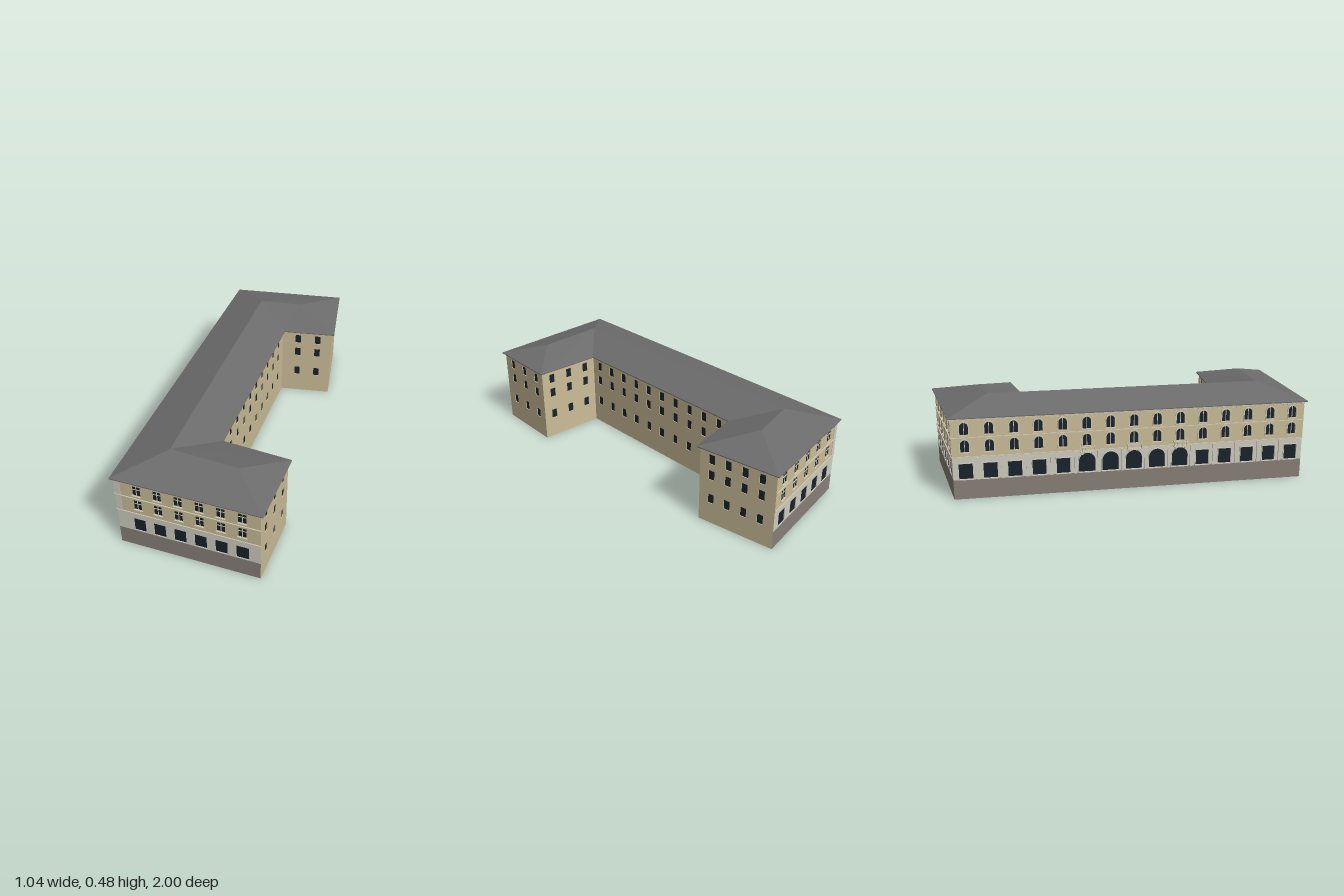
import * as THREE from 'three';
import { mergeGeometries } from 'three/addons/utils/BufferGeometryUtils.js';

const mat = (color, side = THREE.DoubleSide) => new THREE.MeshStandardMaterial({ color, side });
const M = {
  stucco: mat(0xcbbd98), plaster: mat(0xd0ccc0), base: mat(0x878077),
  glass: mat(0x18222c), roof: mat(0x6c6c6c), trim: mat(0xd0c8b0),
};

// Eaves outline as [x, z]; street sides are edges 0 (north), 6 (south), 7 (west)
const EAVES = [[-0.52, -0.8], [0.08, -1], [0.22, -0.585], [-0.05, -0.49],
  [0.12, 0.53], [0.47, 0.5], [0.52, 0.89], [-0.21, 1]];
const EAVE_Y = 0.418, WALL_TOP = 0.414, SKIN = 0.006;

// Offsets a closed outline inwards by d
function inset(pts, d) {
  const n = pts.length;
  const normal = (a, b) => new THREE.Vector2(a[1] - b[1], b[0] - a[0]).normalize();
  return pts.map((p, i) => {
    const n1 = normal(pts[(i + n - 1) % n], p), n2 = normal(p, pts[(i + 1) % n]);
    const k = d / (1 + n1.dot(n2));
    return [p[0] + (n1.x + n2.x) * k, p[1] + (n1.y + n2.y) * k];
  });
}

// Opening outline, optionally with a round head
function trace(path, { x, y, w, h, arch }, grow = 0) {
  const r = w / 2 + grow, top = y + h + grow;
  path.moveTo(x - r, y - grow);
  path.lineTo(x + r, y - grow);
  if (arch) {
    path.lineTo(x + r, top - r);
    path.absarc(x, top - r, r, 0, Math.PI, false);
  } else {
    path.lineTo(x + r, top);
    path.lineTo(x - r, top);
  }
  path.lineTo(x - r, y - grow);
  return path;
}

const extrude = (shape, depth, z) =>
  new THREE.ExtrudeGeometry(shape, { depth, bevelEnabled: false, curveSegments: 8 }).translate(0, 0, z);
const box = (x, y, z, w, h, d) => new THREE.BoxGeometry(w, h, d).translate(x, y, z).toNonIndexed();

function addMerged(group, name, geos, material) {
  if (!geos.length) return;
  const mesh = new THREE.Mesh(mergeGeometries(geos), material);
  mesh.name = name;
  group.add(mesh);
}

// Wall strip with its openings cut through
function wallStrip(L, y0, y1, openings) {
  const s = new THREE.Shape([[0, y0], [L, y0], [L, y1], [0, y1]].map(p => new THREE.Vector2(...p)));
  openings.forEach(o => s.holes.push(trace(new THREE.Path(), o)));
  return extrude(s, SKIN, -SKIN);
}
const pane = o => new THREE.ShapeGeometry(trace(new THREE.Shape(), o), 8).translate(0, 0, -0.004).toNonIndexed();
function frame(o, grow, depth) {
  const s = trace(new THREE.Shape(), o, grow);
  s.holes.push(trace(new THREE.Path(), o));
  return extrude(s, depth, -0.001);
}

// Evenly spaced openings between fractions u0 and u1 of the wall length
const row = (L, n, [u0, u1], y, w, h, arch = false) => Array.from({ length: n }, (_, i) =>
  ({ x: L * (u0 + (u1 - u0) * i / (n - 1)), y, w, h, arch }));

function cornice(L, dentils) {
  const geos = [box(L / 2, 0.4105, 0.003, L, 0.007, 0.006)];
  const n = dentils ? Math.round(L / 0.025) : 0;
  for (let i = 0; i < n; i++) geos.push(box(L * (i + 0.5) / n, 0.404, 0.002, 0.01, 0.007, 0.006));
  return geos;
}

function courtyardWall(g, L, n, span) {
  const wins = [0.115, 0.25, 0.338].flatMap(y => row(L, n, span, y, 0.032, 0.052));
  addMerged(g, 'wall', [wallStrip(L, 0, WALL_TOP, wins)], M.stucco);
  addMerged(g, 'windowPanes', wins.map(pane), M.glass);
  addMerged(g, 'cornice', cornice(L, false), M.trim);
}

// Stone base, pale ground floor, two stuccoed upper floors
function streetWall(g, L, ground, upper) {
  addMerged(g, 'stoneBase', [wallStrip(L, 0, 0.1, [])], M.base);
  addMerged(g, 'groundFloorWall', [wallStrip(L, 0.1, 0.218, ground)], M.plaster);
  addMerged(g, 'upperWall', [wallStrip(L, 0.218, WALL_TOP, upper)], M.stucco);
  addMerged(g, 'windowPanes', [...ground, ...upper].map(pane), M.glass);
  addMerged(g, 'stringCourses', [0.218, 0.316].map(y => box(L / 2, y, 0.002, L, 0.004, 0.006)), M.trim);
  addMerged(g, 'cornice', cornice(L, true), M.trim);
}

function sideFacade(g, L, n, span, cornerX) {
  const upper = [0.245, 0.334].flatMap(y => row(L, n, span, y, 0.04, 0.056));
  streetWall(g, L, row(L, n, span, 0.105, 0.06, 0.076), upper);
  // Cross-shaped window bars and sills
  addMerged(g, 'windowBars', upper.flatMap(o => [
    box(o.x, o.y + o.h / 2, -0.002, 0.003, o.h, 0.003),
    box(o.x, o.y + o.h * 0.66, -0.002, o.w, 0.002, 0.003),
    box(o.x, o.y - 0.002, 0.002, o.w + 0.008, 0.003, 0.006),
  ]), M.trim);
  addMerged(g, 'cornerStrip', [box(cornerX, 0.311, 0.0005, 0.028, 0.186, 0.003)], M.plaster);
}

function balcony(x) {
  const b = new THREE.Group(), w = 0.075, d = 0.03, y = 0.215;
  b.name = 'balcony';
  const geos = [box(x, y, d / 2, w, 0.005, d), box(x, y + 0.026, d - 0.002, w, 0.003, 0.004)];
  for (const s of [-1, 1]) {
    geos.push(box(x + s * (w / 2 - 0.002), y + 0.026, d / 2, 0.004, 0.003, d));
    geos.push(box(x + s * w * 0.33, y - 0.009, 0.009, 0.006, 0.014, 0.018));
    for (let i = 0; i < 3; i++)
      geos.push(box(x + s * (w / 2 - 0.002), y + 0.013, 0.004 + i * 0.009, 0.002, 0.024, 0.002));
  }
  for (let i = 0; i < 9; i++)
    geos.push(box(x + w * (i / 8 - 0.5) * 0.95, y + 0.013, d - 0.002, 0.003, 0.024, 0.003));
  addMerged(b, 'balconyStone', geos, M.trim);
  return b;
}

function mainFacade(g, L) {
  const span = [0.035, 0.965], n = 15;
  // Five arched bays in the middle of the ground floor
  const ground = row(L, n, span, 0.104, 0.068, 0.08).map((o, i) =>
    i >= 5 && i <= 9 ? { ...o, w: 0.084, h: 0.1, arch: true } : o);
  const upper = [0.242, 0.33].flatMap(y => row(L, n, span, y, 0.042, 0.062, true));
  streetWall(g, L, ground, upper);
  addMerged(g, 'windowSurrounds', upper.map(o => frame(o, 0.006, 0.006)), M.trim);
  addMerged(g, 'groundSurrounds', ground.map(o => frame(o, 0.004, 0.006)), M.plaster);
  addMerged(g, 'windowBars', upper.map(o => box(o.x, o.y + o.h / 2, -0.002, 0.003, o.h, 0.003)), M.trim);
  // Pilasters between the ground-floor bays
  addMerged(g, 'pilasters', ground.slice(1).map((o, i) =>
    box((o.x + ground[i].x) / 2, 0.157, 0.003, 0.012, 0.114, 0.008)), M.plaster);
  for (const i of [5, 7, 9]) g.add(balcony(ground[i].x));
}

function roof() {
  const g = new THREE.Group();
  g.name = 'roof';
  const v = EAVES.map(([x, z]) => [x, EAVE_Y, z]);
  const [A, B, C, D, E, F, G, H] = v;
  // Ridge points and the eave points where wing slopes meet the main slope
  const P = [-0.28, 0.483, -0.64], Q = [-0.03, 0.483, 0.76];
  const N = [-0.06, 0.475, -0.72], S = [0.31, 0.475, 0.72];
  const MN = [-0.14, EAVE_Y, -0.927], MS = [0.17, EAVE_Y, 0.943];
  const faces = [[A, H, Q, P], [H, MS, Q], [MS, G, S, Q], [G, F, S], [F, E, Q, S],
    [E, D, P, Q], [D, C, N, P], [C, B, N], [B, MN, P, N], [MN, A, P]];
  const pos = [];
  for (const f of faces)
    for (let i = 1; i < f.length - 1; i++) pos.push(...f[0], ...f[i], ...f[i + 1]);
  const geo = new THREE.BufferGeometry();
  geo.setAttribute('position', new THREE.Float32BufferAttribute(pos, 3));
  geo.computeVertexNormals();
  const slopes = new THREE.Mesh(geo, M.roof);
  slopes.name = 'roofSlopes';
  // Thin eaves ring that overhangs the walls
  const toVec = pts => pts.map(([x, z]) => new THREE.Vector2(x, -z));
  const ring = new THREE.Shape(toVec(EAVES));
  ring.holes.push(new THREE.Path(toVec(inset(EAVES, 0.02))));
  const eaves = new THREE.Mesh(extrude(ring, 0.0045, 0).rotateX(-Math.PI / 2), M.roof);
  eaves.position.y = EAVE_Y - 0.005;
  eaves.name = 'eaves';
  g.add(slopes, eaves);
  return g;
}

export function createModel() {
  const model = new THREE.Group();
  model.name = 'building';
  const walls = inset(EAVES, 0.014);
  const build = [
    ['northFacade', (g, L) => sideFacade(g, L, 5, [0.12, 0.86], L - 0.015)],
    ['northWingEndWall', (g, L) => courtyardWall(g, L, 4, [0.16, 0.82])],
    ['northWingCourtWall', (g, L) => courtyardWall(g, L, 2, [0.32, 0.72])],
    ['longCourtWall', (g, L) => courtyardWall(g, L, 10, [0.05, 0.92])],
    ['southWingCourtWall', (g, L) => courtyardWall(g, L, 3, [0.18, 0.82])],
    ['southWingEndWall', (g, L) => courtyardWall(g, L, 3, [0.19, 0.82])],
    ['southFacade', (g, L) => sideFacade(g, L, 6, [0.156, 0.877], 0.015)],
    ['westFacade', mainFacade],
  ];
  // Each wall is drawn flat, then turned so that its local +z faces outwards
  build.forEach(([name, make], i) => {
    const a = walls[i], b = walls[(i + 1) % walls.length];
    const dx = b[0] - a[0], dz = b[1] - a[1];
    const g = new THREE.Group();
    g.name = name;
    g.position.set(b[0], 0, b[1]);
    g.rotation.y = Math.atan2(dz, -dx);
    make(g, Math.hypot(dx, dz));
    model.add(g);
  });
  model.add(roof());
  return model;
}
